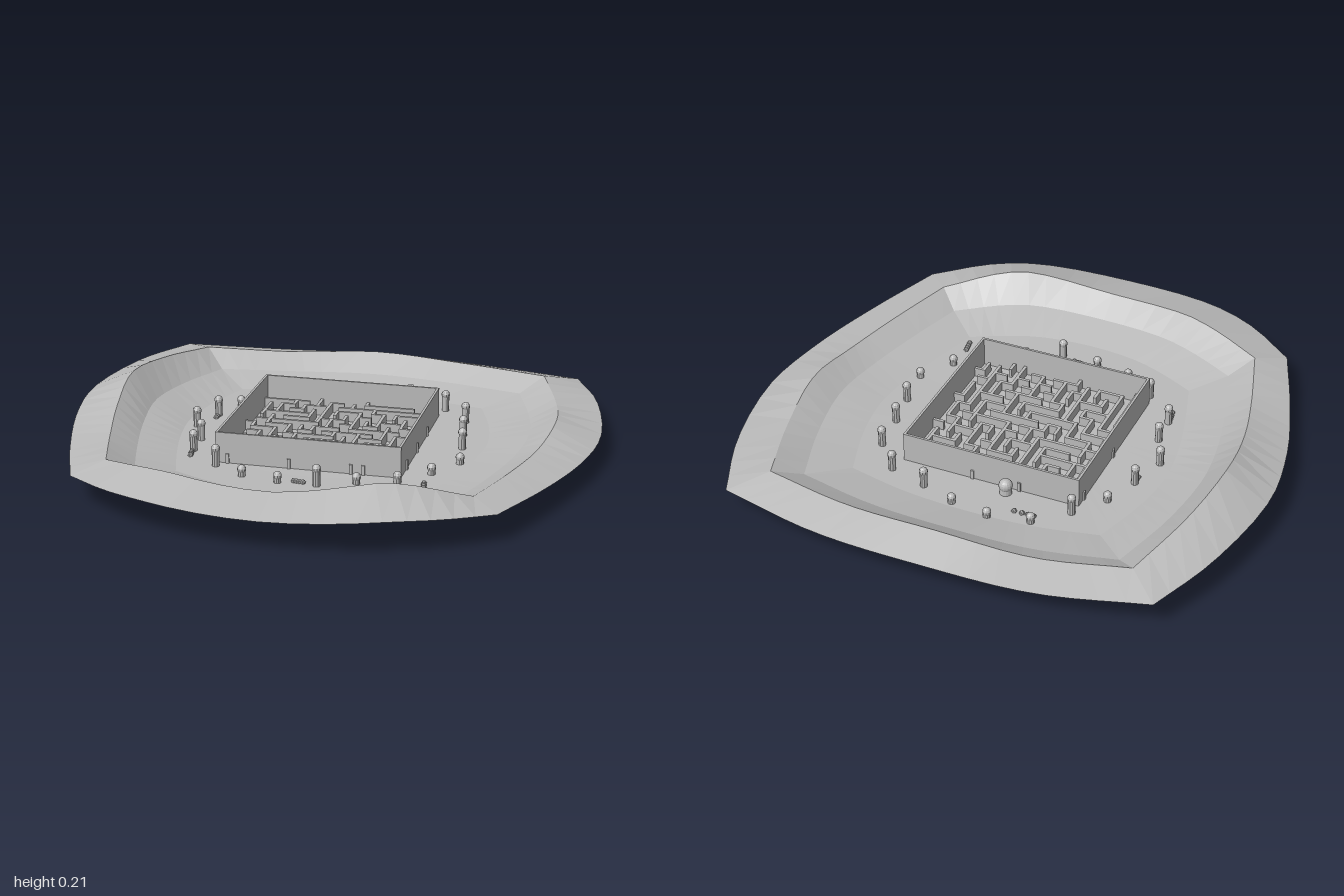
import * as THREE from 'three';
import { mergeGeometries } from 'three/addons/utils/BufferGeometryUtils.js';

const stone = new THREE.MeshStandardMaterial({ color: 0xbababa, flatShading: true, side: THREE.DoubleSide });
stone.name = 'pale stone';

const FLOOR = 0.048;

function add(parent, name, geometry) {
  const mesh = new THREE.Mesh(geometry, stone);
  mesh.name = name;
  parent.add(mesh);
  return mesh;
}

function block(x0, x1, y0, y1, z0, z1) {
  const g = new THREE.BoxGeometry(x1 - x0, y1 - y0, z1 - z0);
  return g.translate((x0 + x1) / 2, (y0 + y1) / 2, (z0 + z1) / 2);
}

// Closed four-sided outline with sharp corners: back, right, front, left.
function outline(back, right, front, perSide) {
  const flip = pts => pts.map(([x, z]) => [-x, z]).reverse();
  const sides = [
    [...flip(back.slice(1)), ...back], right,
    [...front, ...flip(front.slice(0, -1))], flip(right)
  ];
  return sides.flatMap(pts => {
    const curve = new THREE.CatmullRomCurve3(pts.map(([x, z]) => new THREE.Vector3(x, 0, z)));
    return Array.from({ length: perSide }, (_, i) => curve.getPoint(i / perSide));
  });
}

// Heights along the four sides, in the same order as the outline.
function heights(sides, perSide) {
  return sides.flatMap((h, s) => {
    const all = [...h, sides[(s + 1) % 4][0]];
    const curve = new THREE.CatmullRomCurve3(all.map((y, i) => new THREE.Vector3(i, y, 0)));
    return Array.from({ length: perSide }, (_, i) => curve.getPoint(i / perSide).y);
  });
}

// Valley: outer flange, wavy ridge, two inner slopes and a flat floor.
function valleyGeometry() {
  const n = 18;
  const rim = outline(
    [[0, -0.985], [0.42, -0.96], [0.82, -0.875]],
    [[0.82, -0.875], [0.93, -0.6], [1, -0.2], [0.965, 0.1], [0.88, 0.4], [0.765, 0.71]],
    [[0.765, 0.71], [0.565, 0.855], [0.33, 0.945], [0, 0.98]], n);
  const ridge = outline(
    [[0, -0.847], [0.36, -0.825], [0.7, -0.757]],
    [[0.7, -0.757], [0.79, -0.47], [0.832, -0.18], [0.805, 0.08], [0.745, 0.34], [0.665, 0.61]],
    [[0.665, 0.61], [0.48, 0.7], [0.28, 0.77], [0, 0.8]], n);
  const rimY = heights([
    [0.115, 0.095, 0.1, 0.09], [0.09, 0.1, 0.09, 0.095],
    [0.11, 0.13, 0.115, 0.125], [0.11, 0.105, 0.125, 0.13]], n);
  const ridgeY = heights([
    [0.145, 0.13, 0.15, 0.135], [0.13, 0.12, 0.145, 0.125, 0.125],
    [0.13, 0.2, 0.155, 0.168], [0.145, 0.135, 0.165, 0.21, 0.185]], n);
  rim.forEach((p, i) => { p.y = rimY[i]; });
  ridge.forEach((p, i) => { p.y = ridgeY[i]; });
  const inner = (scale, lift) => ridge.map(p =>
    new THREE.Vector3(p.x * scale, FLOOR + (p.y - FLOOR) * lift, p.z * scale));
  const rings = [rim, ridge, inner(0.88, 0.38), inner(0.7, 0.04), inner(0.45, 0)];
  const count = rim.length, index = [];
  const center = rings.length * count;
  rings.forEach((_, r) => {
    for (let i = 0; i < count; i++) {
      const j = (i + 1) % count;
      const a = r * count + i, b = r * count + j;
      if (r === rings.length - 1) index.push(a, center, b);
      else index.push(a, a + count, b, b, a + count, b + count);
    }
  });
  const g = new THREE.BufferGeometry().setFromPoints([...rings.flat(), new THREE.Vector3(0, FLOOR, 0)]);
  g.setIndex(index);
  g.computeVertexNormals();
  return g;
}

// Maze carved by a seeded depth-first walk; the remaining cell borders become low walls.
function mazeWalls(x0, z0, size, cells) {
  let seed = 11;
  const random = () => (seed = (seed * 16807) % 2147483647) / 2147483647;
  const step = size / cells, t = 0.006, open = new Set(), seen = new Set([0]), stack = [0];
  const key = (a, b) => Math.min(a, b) + ':' + Math.max(a, b);
  while (stack.length) {
    const c = stack[stack.length - 1], x = c % cells, z = Math.floor(c / cells);
    const next = [[1, 0], [-1, 0], [0, 1], [0, -1]]
      .map(([dx, dz]) => [x + dx, z + dz])
      .filter(([a, b]) => a >= 0 && b >= 0 && a < cells && b < cells && !seen.has(b * cells + a));
    if (!next.length) { stack.pop(); continue; }
    const [a, b] = next[Math.floor(random() * next.length)];
    const d = b * cells + a;
    open.add(key(c, d));
    seen.add(d);
    stack.push(d);
  }
  const walls = [];
  for (let z = 0; z < cells; z++) for (let x = 0; x < cells; x++) {
    const c = z * cells + x, px = x0 + x * step, pz = z0 + z * step;
    if (x < cells - 1 && !open.has(key(c, c + 1)))
      walls.push(block(px + step - t, px + step + t, 0.036, 0.085, pz - t, pz + step + t));
    if (z < cells - 1 && !open.has(key(c, c + cells)))
      walls.push(block(px - t, px + step + t, 0.036, 0.085, pz + step - t, pz + step + t));
  }
  return mergeGeometries(walls);
}

// Domed post standing in the floor.
function post(parent, x, z, tall) {
  const top = FLOOR + (tall ? 0.068 : 0.028);
  const group = new THREE.Group();
  group.name = 'post';
  group.position.set(x, 0, z);
  const shaft = new THREE.CylinderGeometry(0.014, 0.014, top - 0.036, 10);
  add(group, 'postShaft', shaft.translate(0, (top + 0.036) / 2, 0));
  add(group, 'postCap', new THREE.SphereGeometry(0.017, 10, 7).translate(0, top, 0));
  parent.add(group);
}

export function createModel() {
  const model = new THREE.Group();
  model.name = 'mazeValley';
  add(model, 'valley', valleyGeometry());

  // Maze enclosure
  const maze = new THREE.Group();
  maze.name = 'maze';
  model.add(maze);
  const [l, r, b, f, t] = [-0.355, 0.342, -0.405, 0.292, 0.009];
  add(maze, 'backWall', block(l, r, 0.028, 0.165, b, b + t));
  add(maze, 'frontWall', block(l, r, 0.028, 0.165, f - t, f));
  add(maze, 'leftWall', block(r - t, r, 0.028, 0.165, b + t, f - t));
  add(maze, 'rightWall', block(l, l + t, 0.028, 0.165, b + t, f - t));
  add(maze, 'innerWalls', mazeWalls(l, b, r - l, 15));

  // Ring of posts: x, z, tall
  [
    [-0.08, -0.595, 0], [0.07, -0.57, 0], [0.205, -0.52, 1], [0.355, -0.475, 1],
    [0.457, -0.355, 1], [0.477, -0.2, 1], [0.5, -0.06, 1], [0.522, 0.1, 0],
    [0.442, 0.23, 0], [0.34, 0.342, 0], [0.2, 0.39, 0], [0.067, 0.445, 1],
    [-0.078, 0.445, 0], [-0.22, 0.413, 0], [-0.342, 0.333, 1], [-0.468, 0.2, 1],
    [-0.475, 0.08, 1], [-0.533, -0.057, 1], [-0.49, -0.2, 1], [-0.438, -0.335, 0],
    [-0.347, -0.453, 1], [-0.235, -0.56, 0]
  ].forEach(p => post(model, ...p));

  // Small rock clusters: x, z, spread along x, spread along z
  [
    [-0.195, -0.528, 0.038, 0], [-0.49, -0.185, 0, 0.02], [-0.465, 0.24, 0.004, 0.022],
    [0.44, 0.36, 0.004, 0.024], [-0.004, 0.43, 0.018, 0.003]
  ].forEach(([x, z, dx, dz]) => {
    const rocks = [-1, -0.4, 0.2, 1].map(k =>
      new THREE.IcosahedronGeometry(0.011, 0).translate(x + k * dx, FLOOR + 0.007, z + k * dz));
    add(model, 'rockCluster', mergeGeometries(rocks));
  });

  // Domed shrine on a footing that reaches below the floor
  const shrine = new THREE.Group();
  shrine.name = 'shrine';
  shrine.position.set(-0.083, 0, -0.437);
  add(shrine, 'footing', block(-0.046, 0.046, 0, 0.046, -0.032, 0.032));
  add(shrine, 'drum', new THREE.CylinderGeometry(0.021, 0.024, 0.04, 14).translate(0, 0.062, 0));
  add(shrine, 'dome', new THREE.SphereGeometry(0.026, 14, 10).translate(0, 0.083, 0));
  model.add(shrine);
  return model;
}
